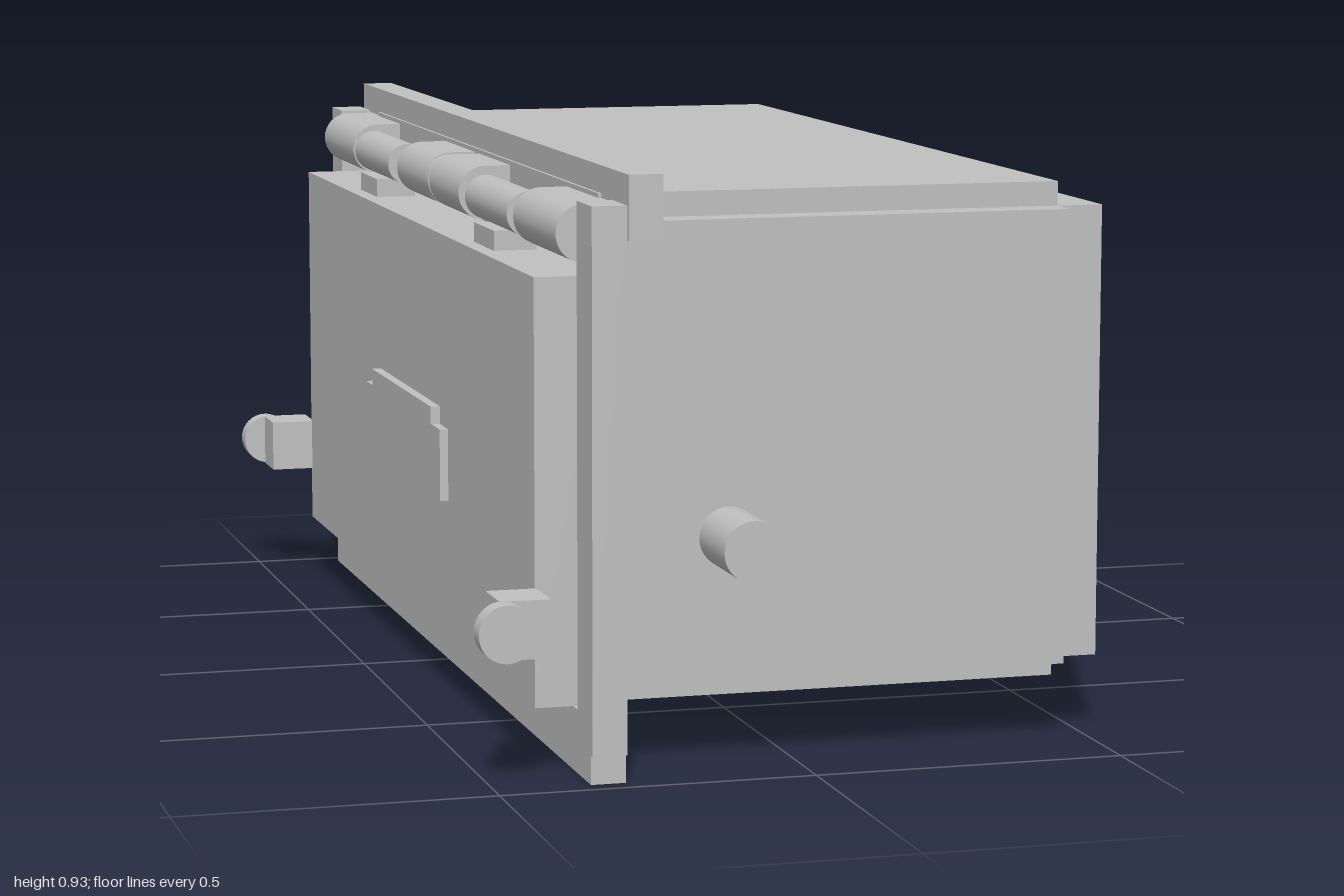
import * as THREE from 'three';

export function createModel() {
  const model = new THREE.Group();
  model.name = 'hingedBox';
  const grey = new THREE.MeshStandardMaterial({ color: 0xc0c0c0 });
  grey.name = 'plain grey';

  // Box given by its extents on each axis
  function box(name, [x0, x1], [y0, y1], [z0, z1]) {
    const mesh = new THREE.Mesh(new THREE.BoxGeometry(x1 - x0, y1 - y0, z1 - z0), grey);
    mesh.position.set((x0 + x1) / 2, (y0 + y1) / 2, (z0 + z1) / 2);
    mesh.name = name;
    model.add(mesh);
  }

  // Round bar running along z
  function rod(name, x, y, r, z0, z1) {
    const geometry = new THREE.CylinderGeometry(r, r, z1 - z0, 32).rotateX(Math.PI / 2);
    const mesh = new THREE.Mesh(geometry, grey);
    mesh.position.set(x, y, (z0 + z1) / 2);
    mesh.name = name;
    model.add(mesh);
  }

  // Z range on either end of the model
  const span = (side, a, b) => (side > 0 ? [a, b] : [-b, -a]);

  // Case: end panels, top and bottom panels, and the rear panel, stepped at the corners
  box('endPanels', [-0.295, 0.455], [0.122, 0.848], [-0.863, 0.863]);
  box('topAndBottomPanels', [-0.295, 0.455], [0.093, 0.887], [-0.81, 0.81]);
  box('rearPanel', [0.4, 0.53], [0.122, 0.848], [-0.81, 0.81]);

  // Door frame
  box('frameBottomBar', [-0.35, -0.295], [0, 0.1], [-0.97, 0.97]);
  box('frameTopBar', [-0.29, -0.236], [0.83, 0.93], [-0.97, 0.97]);

  // Door with a stepped name plate
  box('door', [-0.416, -0.3], [0.105, 0.77], [-0.885, 0.885]);
  box('doorPlate', [-0.43, -0.416], [0.33, 0.45], [-0.295, 0.295]);
  box('doorPlateTab', [-0.432, -0.416], [0.45, 0.48], [-0.235, 0.235]);

  // Hinge pin and its middle washer
  rod('hingePin', -0.342, 0.835, 0.024, -0.88, 0.88);
  rod('hingeWasher', -0.342, 0.835, 0.042, -0.014, 0.014);

  for (const side of [1, -1]) {
    box('framePost', [-0.35, -0.295], [0.045, 0.885], span(side, 0.89, 0.98));

    // Frame knuckles, each with a flat arm to the top bar
    for (const [a, b] of [[0.62, 0.89], [0.018, 0.24]]) {
      const z = span(side, a, b);
      rod('frameKnuckle', -0.338, 0.835, 0.045, ...z);
      box('knuckleArm', [-0.338, -0.283], [0.822, 0.88], z);
    }

    // Door knuckle with its tab
    rod('doorKnuckle', -0.35, 0.835, 0.036, ...span(side, 0.3, 0.59));
    box('doorKnuckleTab', [-0.39, -0.32], [0.765, 0.802], span(side, 0.38, 0.52));

    // Pivot pin on the case end
    rod('pivotPin', -0.1, 0.353, 0.048, ...span(side, 0.85, 1));

    // Latch block and round knob
    box('latchBlock', [-0.492, -0.412], [0.2, 0.291], span(side, 0.88, 0.97));
    rod('latchKnob', -0.486, 0.246, 0.045, ...span(side, 0.965, 1));
  }

  return model;
}
